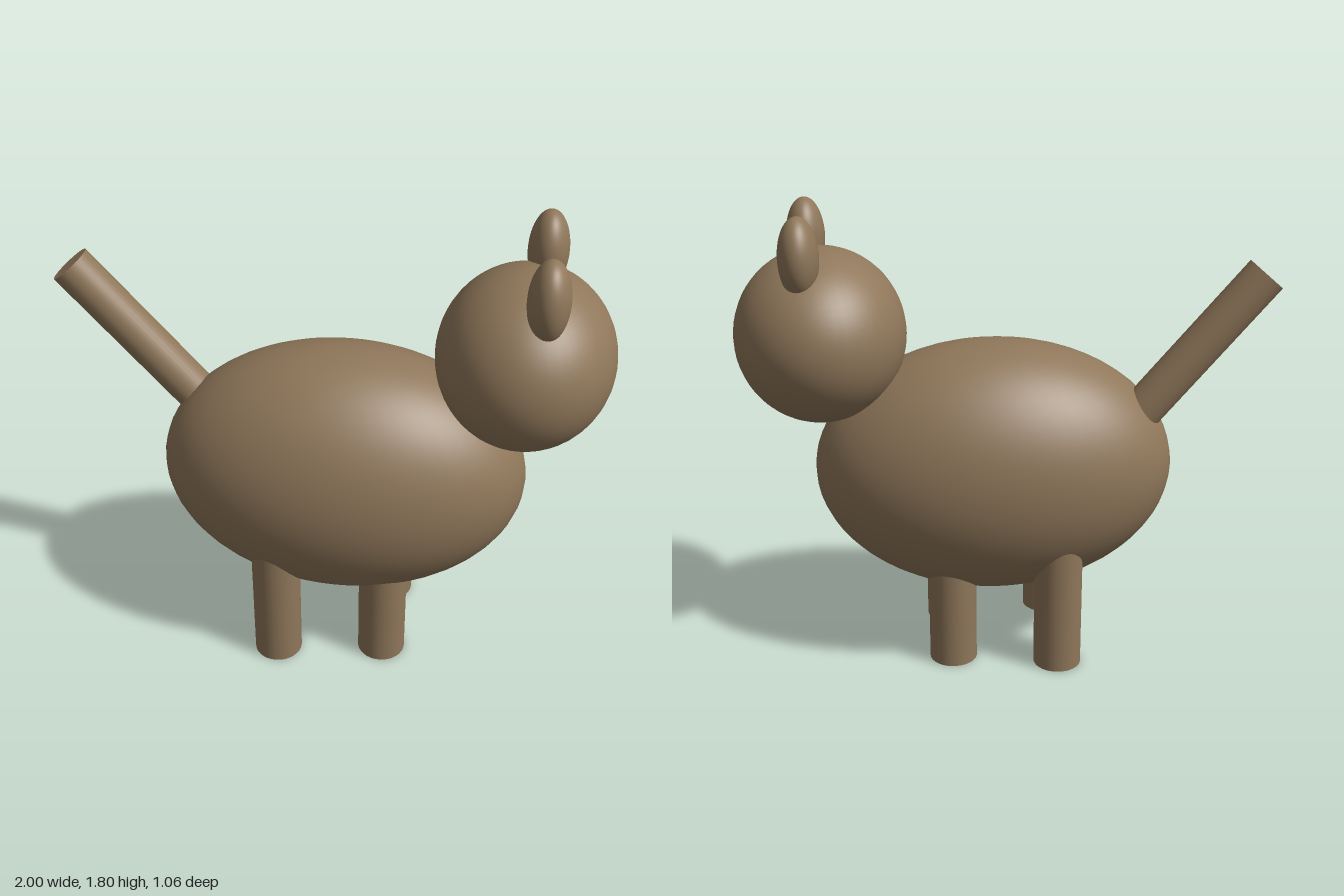
import * as THREE from 'three';

const HEADING = THREE.MathUtils.degToRad(19.5);

export function createModel() {
  const group = new THREE.Group();
  group.name = 'cat';
  const fur = new THREE.MeshStandardMaterial({ color: 0x8f775a });
  fur.name = 'brown fur';

  // Ellipsoid with radii along the animal's length, height and width
  function ellipsoid(name, centre, radii) {
    const mesh = new THREE.Mesh(new THREE.SphereGeometry(1, 48, 32), fur);
    mesh.name = name;
    mesh.position.set(...centre);
    mesh.scale.set(...radii);
    mesh.rotation.y = HEADING;
    group.add(mesh);
  }

  // Round bar between two points
  function bar(name, from, to, radius) {
    const a = new THREE.Vector3(...from);
    const axis = new THREE.Vector3(...to).sub(a);
    const mesh = new THREE.Mesh(new THREE.CylinderGeometry(radius, radius, axis.length(), 32), fur);
    mesh.name = name;
    mesh.position.copy(a).addScaledVector(axis, 0.5);
    mesh.quaternion.setFromUnitVectors(new THREE.Vector3(0, 1, 0), axis.normalize());
    group.add(mesh);
  }

  // Body and head
  ellipsoid('body', [0.048, 0.767, 0.061], [0.703, 0.507, 0.426]);
  ellipsoid('head', [0.665, 1.313, -0.165], [0.325, 0.332, 0.37]);

  // Ears
  ellipsoid('earA', [0.782, 1.647, 0], [0.074, 0.15, 0.105]);
  ellipsoid('earB', [0.648, 1.647, -0.36], [0.074, 0.15, 0.105]);

  // Legs, running up into the body
  const legs = {
    frontLegA: [0.282, 0.175],
    frontLegB: [0.155, -0.163],
    backLegA: [-0.088, 0.372],
    backLegB: [-0.257, -0.088],
  };
  for (const [name, [x, z]] of Object.entries(legs)) {
    bar(name, [x, 0, z], [x, 0.6, z], 0.094);
  }

  // Tail
  bar('tail', [-0.45, 0.92, 0.176], [-0.94, 1.53, 0.355], 0.081);

  return group;
}
